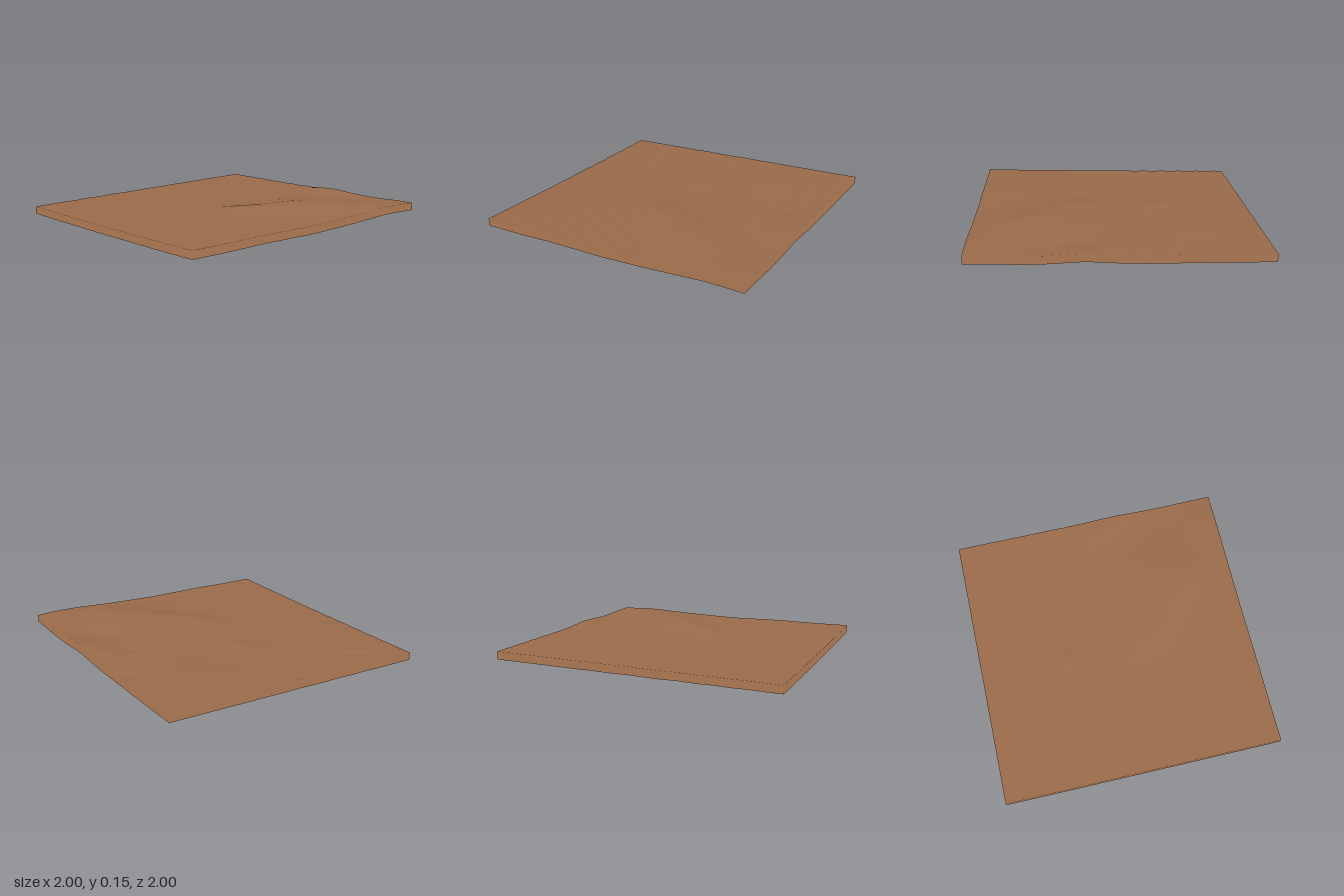
import * as THREE from 'three';

const SEG = 90;
const SKIRT_DEPTH = 0.056;

// Rounded mound, stretched along x or z and optionally turned
function mound(x, z, cx, cz, wx, wz, h, turn = 0) {
  const c = Math.cos(turn), s = Math.sin(turn);
  const u = (c * (x - cx) + s * (z - cz)) / wx;
  const v = (c * (z - cz) - s * (x - cx)) / wz;
  return h * Math.exp(-u * u - v * v);
}

// Height of the ground surface
function ground(x, z) {
  const u = (x + 1) / 2, v = (1 - z) / 2;
  // tilted base, lowest at the front right corner
  let y = SKIRT_DEPTH + THREE.MathUtils.lerp(
    THREE.MathUtils.lerp(0.003, 0.05, u),
    THREE.MathUtils.lerp(0.06, 0.086, u), v);
  y -= 0.005 * (1 - x * x) * (1 - v * 0.5);
  // main ridge: gentle behind, steep towards the front left
  const across = 0.64 * (x - 0.58) + 0.76 * (z + 0.34);
  const along = 0.76 * (x - 0.58) - 0.64 * (z + 0.34);
  const width = across > 0 ? 0.17 : 0.32;
  y += 0.034 * Math.exp(-((across / width) ** 2) - (along / 0.4) ** 2);
  // smaller mounds and hollows
  y += mound(x, z, 0.2, -0.97, 0.26, 0.12, 0.015, -0.5);
  y += mound(x, z, 0.95, -0.8, 0.24, 0.2, 0.012);
  y += mound(x, z, 0.48, -0.82, 0.25, 0.12, -0.007, -0.5);
  y += mound(x, z, -0.36, 0.06, 0.14, 0.09, 0.008, -0.5);
  y += mound(x, z, 0.3, 0.02, 0.24, 0.13, 0.016, -0.6);
  y += mound(x, z, -0.55, -0.5, 0.22, 0.13, 0.006, -0.9);
  y += mound(x, z, 1, 0.02, 0.25, 0.25, -0.007);
  // fine diagonal ripples
  const phase = 46 * (0.9 * x + 0.42 * z) + 1.6 * Math.sin(3 * z + x) + Math.sin(7 * z - 2 * x);
  y += 0.0013 * Math.sin(phase) * (0.55 + 0.45 * Math.sin(4 * x - 3 * z));
  return Math.max(SKIRT_DEPTH, y);
}

// Grid sheet following the ground
function sheet() {
  const geo = new THREE.PlaneGeometry(2, 2, SEG, SEG);
  geo.rotateX(-Math.PI / 2);
  const p = geo.attributes.position;
  for (let i = 0; i < p.count; i++) p.setY(i, ground(p.getX(i), p.getZ(i)));
  geo.computeVertexNormals();
  return geo;
}

// Strip hanging from one edge; its normals point up so it blends into the ground
function skirt(angle) {
  const geo = new THREE.PlaneGeometry(2, 1, SEG, 1);
  geo.translate(0, 0.5, 1);
  geo.rotateY(angle);
  const p = geo.attributes.position;
  for (let i = 0; i < p.count; i++) {
    p.setY(i, ground(p.getX(i), p.getZ(i)) - (p.getY(i) > 0.5 ? 0 : SKIRT_DEPTH));
    geo.attributes.normal.setXYZ(i, 0, 1, 0);
  }
  return geo;
}

export function createModel() {
  const group = new THREE.Group();
  group.name = 'terrainTile';
  const earth = new THREE.MeshStandardMaterial({ color: 0x9a6b4a, side: THREE.DoubleSide });
  earth.name = 'brown earth';

  const add = (name, geo) => {
    const mesh = new THREE.Mesh(geo, earth);
    mesh.name = name;
    group.add(mesh);
  };

  // open below: one ground sheet with a skirt around it
  add('groundSurface', sheet());
  ['frontSkirt', 'leftSkirt', 'backSkirt', 'rightSkirt'].forEach((name, i) => add(name, skirt(i * Math.PI / 2)));
  return group;
}
